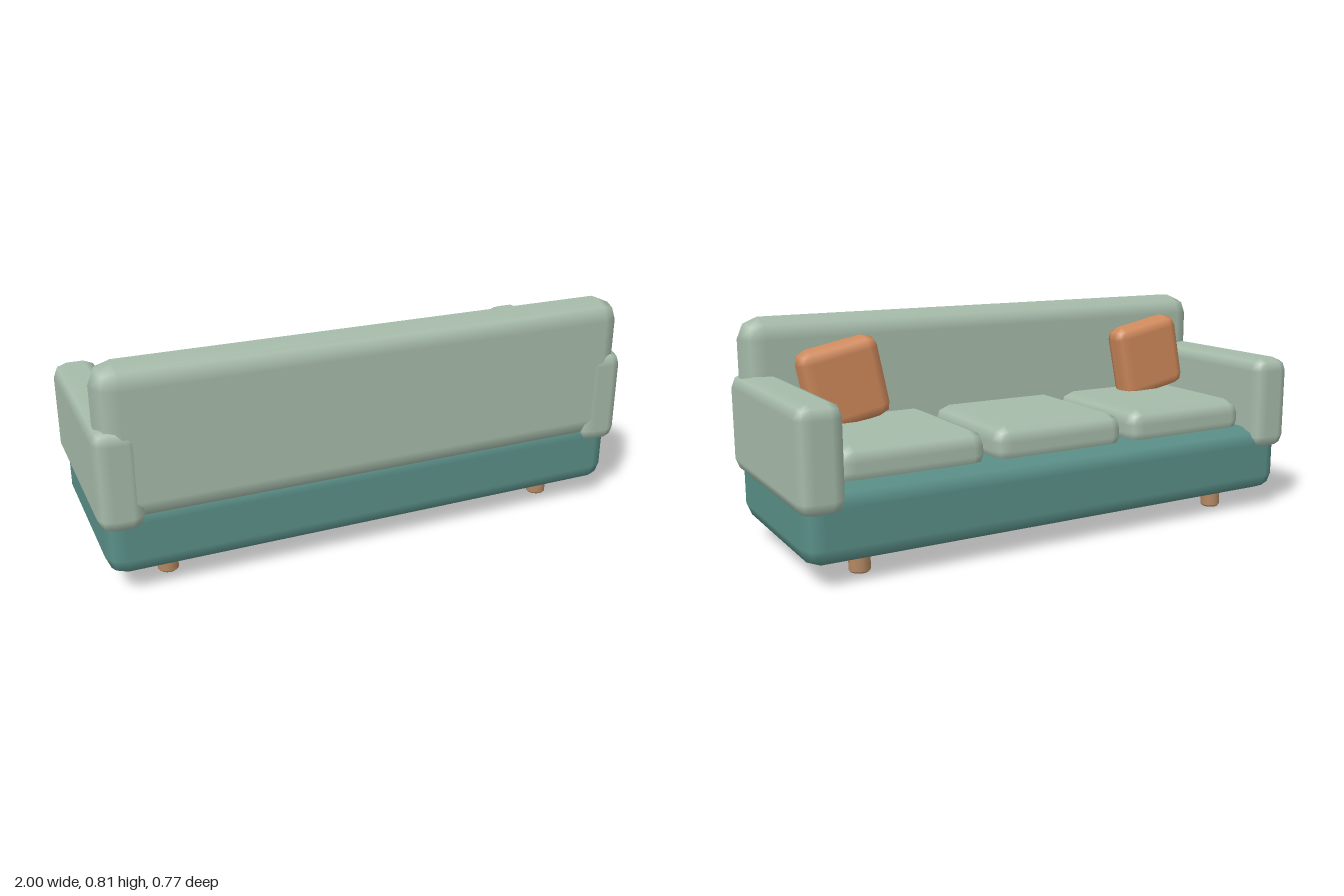
import * as THREE from 'three';

const fabric = new THREE.MeshStandardMaterial({ color: 0xa6bbaa });
const frame = new THREE.MeshStandardMaterial({ color: 0x5a8f88 });
const accent = new THREE.MeshStandardMaterial({ color: 0xd08a5c });
const wood = new THREE.MeshStandardMaterial({ color: 0xb38862 });

// Box whose edges are bevelled in two steps, with smooth normals:
// a 3x3x3 grid pulled onto a coarse sphere, then spread to the box size
function bevelBox(size, radius) {
  const geometry = new THREE.BoxGeometry(1, 1, 1, 3, 3, 3);
  const { position, normal } = geometry.attributes;
  const point = new THREE.Vector3();
  const inner = new THREE.Vector3(...size).multiplyScalar(0.5).subScalar(radius);
  const snap = (c) => (Math.abs(c) > 0.4 ? Math.sign(c) : 0);
  for (let i = 0; i < position.count; i++) {
    point.fromBufferAttribute(position, i);
    const core = new THREE.Vector3(Math.sign(point.x), Math.sign(point.y), Math.sign(point.z)).multiply(inner);
    const direction = new THREE.Vector3(snap(point.x), snap(point.y), snap(point.z)).normalize();
    normal.setXYZ(i, direction.x, direction.y, direction.z);
    core.addScaledVector(direction, radius);
    position.setXYZ(i, core.x, core.y, core.z);
  }
  return geometry;
}

function block(name, material, size, radius, position) {
  const mesh = new THREE.Mesh(bevelBox(size, radius), material);
  mesh.name = name;
  mesh.position.set(...position);
  return mesh;
}

export function createModel() {
  const sofa = new THREE.Group();
  sofa.name = 'sofa';

  // Base and backrest (the seat opens towards -z)
  sofa.add(block('base', frame, [1.96, 0.26, 0.725], 0.065, [0, 0.2, 0]));
  sofa.add(block('backrest', fabric, [1.96, 0.535, 0.178], 0.075, [0, 0.5375, 0.29]));

  // Seat cushions
  for (const x of [-0.57, 0, 0.57]) {
    sofa.add(block('seatCushion', fabric, [0.535, 0.14, 0.54], 0.055, [x, 0.37, -0.03]));
  }

  // Round leg with a small bevel at the foot
  const shaftGeometry = new THREE.CylinderGeometry(0.037, 0.037, 0.094, 16);
  const footGeometry = new THREE.CylinderGeometry(0.037, 0.031, 0.006, 16);

  for (const side of [-1, 1]) {
    sofa.add(block('arm', fabric, [0.16, 0.36, 0.77], 0.05, [side * 0.92, 0.425, 0]));

    // Both pillows lean the same way
    const pillow = block('pillow', accent, [0.3, 0.3, 0.117], 0.045, [side * 0.665, 0.574, 0.112]);
    pillow.rotation.z = -0.2;
    sofa.add(pillow);

    for (const z of [-0.222, 0.222]) {
      const leg = new THREE.Group();
      leg.name = 'leg';
      const shaft = new THREE.Mesh(shaftGeometry, wood);
      shaft.name = 'legShaft';
      shaft.position.y = 0.053;
      const foot = new THREE.Mesh(footGeometry, wood);
      foot.name = 'legFoot';
      foot.position.y = 0.003;
      leg.add(shaft, foot);
      leg.position.set(side * 0.755, 0, z);
      sofa.add(leg);
    }
  }
  return sofa;
}
